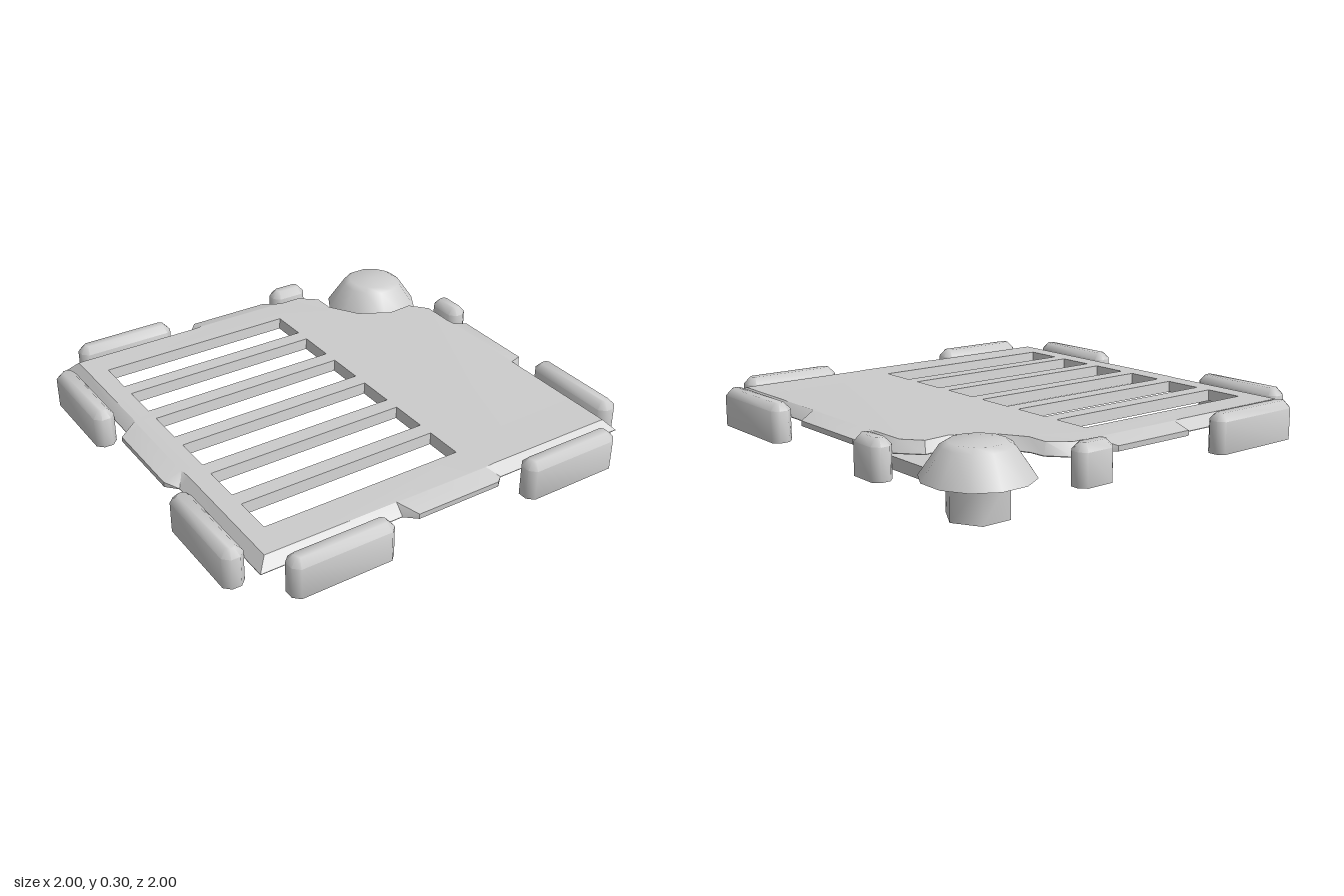
import * as THREE from 'three';
import { mergeGeometries, toCreasedNormals } from 'three/addons/utils/BufferGeometryUtils.js';

// Every part is a shell open at the bottom
const material = new THREE.MeshStandardMaterial({ color: 0xcccccc, side: THREE.DoubleSide });

// Flat top from an [x, z] outline with holes
function cap(outline, holes, y) {
  const path = (pts) => pts.map(([x, z]) => new THREE.Vector2(x, -z));
  const shape = new THREE.Shape(path(outline));
  holes.forEach((h) => shape.holes.push(new THREE.Path(path(h))));
  const g = new THREE.ShapeGeometry(shape).toNonIndexed();
  g.deleteAttribute('uv');
  return g.rotateX(-Math.PI / 2).translate(0, y, 0);
}

// Wall between two matching outlines; a point may carry its own height as third value
function wall(lower, y0, upper, y1) {
  const pos = [];
  const at = ([x, z, y], level) => [x, y ?? level, z];
  lower.forEach((p, i) => {
    const j = (i + 1) % lower.length;
    const a = at(p, y0), b = at(lower[j], y0);
    const A = at(upper[i], y1), B = at(upper[j], y1);
    pos.push(...a, ...A, ...B, ...a, ...B, ...b);
  });
  const g = new THREE.BufferGeometry();
  g.setAttribute('position', new THREE.Float32BufferAttribute(pos, 3));
  g.computeVertexNormals();
  return g;
}

// Shell from stacked outlines {y, pts}; each hole has a lower and an upper outline
function shell(levels, holes = [], crease = 0.6) {
  const last = levels[levels.length - 1];
  const parts = [cap(last.pts, holes.map((h) => h.upper), last.y)];
  for (let i = 1; i < levels.length; i++) {
    parts.push(wall(levels[i - 1].pts, levels[i - 1].y, levels[i].pts, levels[i].y));
  }
  for (const h of holes) {
    parts.push(wall([...h.lower].reverse(), levels[0].y, [...h.upper].reverse(), last.y));
  }
  return toCreasedNormals(mergeGeometries(parts), crease);
}

const rect = (x0, x1, z0, z1) => [[x0, z0], [x1, z0], [x1, z1], [x0, z1]];

// Rectangle with cut corners
function octagon(x0, x1, z0, z1, c) {
  return [[x0 + c, z0], [x1 - c, z0], [x1, z0 + c], [x1, z1 - c],
    [x1 - c, z1], [x0 + c, z1], [x0, z1 - c], [x0, z0 + c]];
}

// Plate outline: e is the edge, t the reach of the tab on every side, notch the cut back-left corner
function plateOutline(e, t, notch) {
  return [
    [-e, -e], [-0.25, -e], [-0.2, -t], [0.2, -t], [0.25, -e],
    ...notch,
    [e, -0.25], [t, -0.2], [t, 0.2], [e, 0.25],
    [e, e], [0.25, e], [0.2, t], [-0.2, t], [-0.25, e],
    [-e, e], [-e, 0.25], [-t, 0.2], [-t, -0.2], [-e, -0.25],
  ];
}

export function createModel() {
  const model = new THREE.Group();
  const add = (name, geometry, x = 0, y = 0, z = 0, parent = model) => {
    const mesh = new THREE.Mesh(geometry, material);
    mesh.name = name;
    mesh.position.set(x, y, z);
    parent.add(mesh);
  };

  // Slotted plate with a steep rim and gently sloping tabs
  const outer = plateOutline(0.9, 0.945, [[0.4, -0.9], [0.475, -0.82], [0.48, -0.75], [0.56, -0.58],
    [0.7, -0.505], [0.815, -0.515], [0.9, -0.42]]);
  const rim = outer.map(([x, z]) => [x, z, Math.max(Math.abs(x), Math.abs(z)) > 0.92 ? 0.22 : 0.2]);
  const inner = plateOutline(0.857, 0.862, [[0.36, -0.857], [0.44, -0.79], [0.44, -0.69], [0.525, -0.55],
    [0.67, -0.47], [0.79, -0.48], [0.857, -0.4]]);
  const slots = [];
  for (let i = 0; i < 6; i++) {
    const z = -0.63 + i * 0.25;
    slots.push({
      lower: rect(-0.76, 0.155, z - 0.078, z + 0.078),
      upper: rect(-0.77, 0.165, z - 0.088, z + 0.088),
    });
  }
  add('slottedPlate', shell([{ y: 0.197, pts: outer }, { y: 0.2, pts: rim }, { y: 0.245, pts: inner }], slots));

  // Bumper blocks around the edge: x0, x1, z0, z1
  const bumpers = {
    frontRightBumper: [-0.81, -0.34, 0.9, 1],
    frontLeftBumper: [0.335, 0.81, 0.9, 1],
    backRightBumper: [-0.81, -0.34, -1, -0.905],
    backLeftBumper: [0.255, 0.437, -1, -0.905],
    rightBackBumper: [-1, -0.903, -0.81, -0.34],
    rightFrontBumper: [-1, -0.903, 0.335, 0.81],
    leftFrontBumper: [0.903, 1, 0.335, 0.81],
    leftBackBumper: [0.903, 1, -0.445, -0.265],
  };
  for (const [name, [x0, x1, z0, z1]] of Object.entries(bumpers)) {
    const side = octagon(x0, x1, z0, z1, 0.028);
    const top = octagon(x0 + 0.028, x1 - 0.028, z0 + 0.028, z1 - 0.028, 0.012);
    add(name, shell([{ y: 0.098, pts: side }, { y: 0.238, pts: side }, { y: 0.27, pts: top }], [], 0.9));
  }

  // Corner knob: hexagonal sleeve under a hollow cap
  const knob = new THREE.Group();
  knob.name = 'cornerKnob';
  knob.position.set(0.75, 0, -0.76);
  model.add(knob);
  const post = new THREE.CylinderGeometry(0.133, 0.133, 0.17, 6, 1, true).rotateY(Math.PI / 6);
  add('knobPost', toCreasedNormals(post.toNonIndexed(), 1.1), 0, 0.085, 0, knob);
  const profile = [[0.229, 0.155], [0.145, 0.278], [0.115, 0.296], [0, 0.296]]
    .map(([r, y]) => new THREE.Vector2(r, y));
  const capGeometry = new THREE.LatheGeometry(profile, 12, Math.PI / 12);
  add('knobCap', toCreasedNormals(capGeometry.toNonIndexed(), 0.6), 0, 0, 0, knob);

  // Hollow arm running from the knob under the plate
  const arm = rect(0.605, 0.835, -0.68, -0.18);
  add('knobArm', shell([{ y: 0.1, pts: arm }, { y: 0.155, pts: arm }]));
  return model;
}
